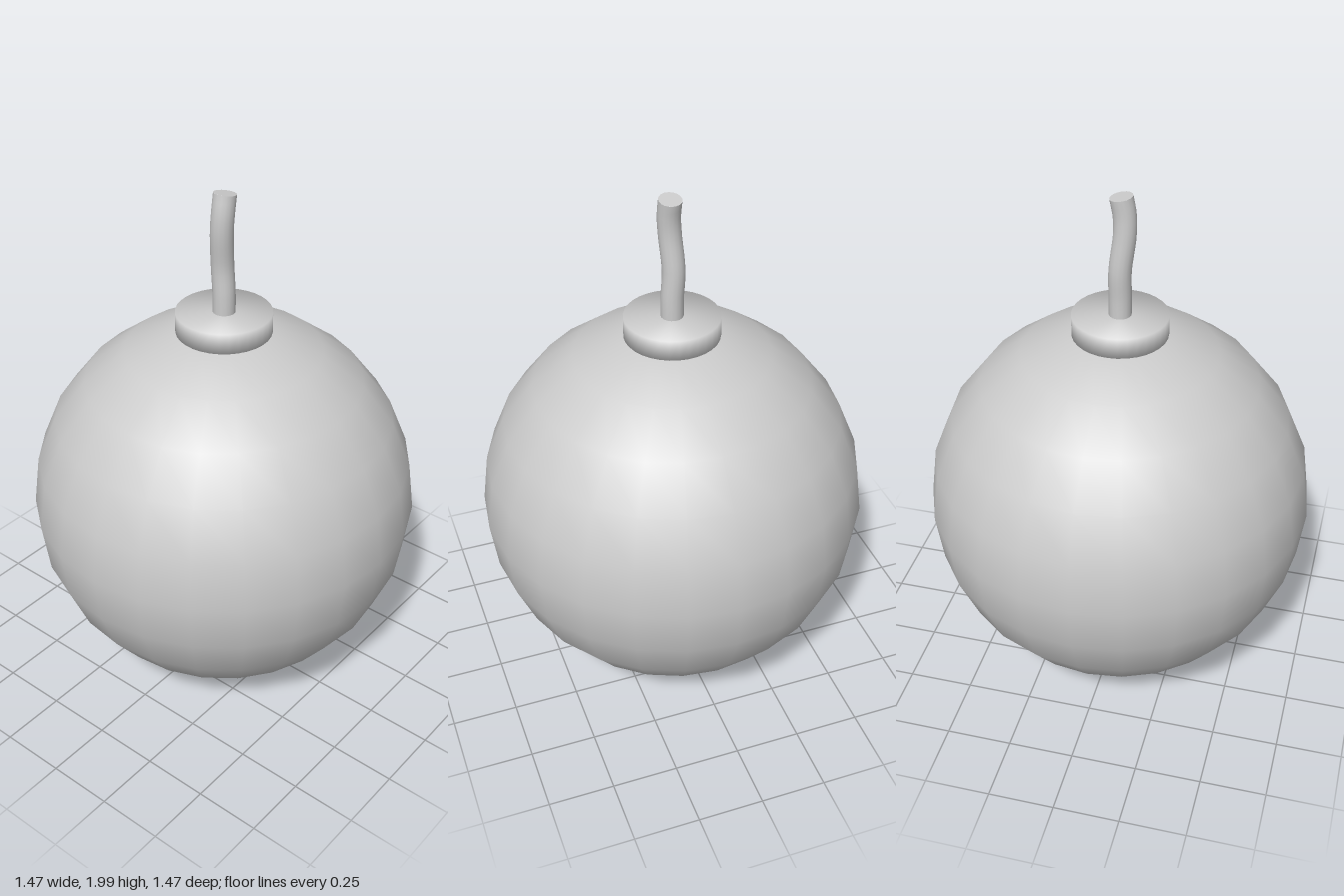
import * as THREE from 'three';
import { mergeVertices } from 'three/addons/utils/BufferGeometryUtils.js';

export function createModel() {
  const group = new THREE.Group();
  const material = new THREE.MeshStandardMaterial({ color: 0xcccccc });
  const add = (name, geometry) => {
    const mesh = new THREE.Mesh(geometry, material);
    mesh.name = name;
    group.add(mesh);
    return mesh;
  };

  // Round body
  add('body', new THREE.SphereGeometry(0.737, 24, 12)).position.y = 0.738;

  // Neck collar, shaded smoothly over its rim
  let collar = new THREE.CylinderGeometry(0.178, 0.178, 0.09, 32);
  collar.deleteAttribute('normal');
  collar.deleteAttribute('uv');
  collar = mergeVertices(collar);
  collar.computeVertexNormals();
  add('collar', collar).position.y = 1.485;

  // Bent fuse
  const path = new THREE.CatmullRomCurve3([
    [0, 1.5, 0],
    [0, 1.6, 0],
    [-0.001, 1.71, -0.006],
    [-0.016, 1.85, 0.003],
    [-0.014, 1.92, 0.007],
    [-0.002, 1.987, 0.006],
  ].map((p) => new THREE.Vector3(...p)));
  const radius = 0.042;
  add('fuse', new THREE.TubeGeometry(path, 16, radius, 16));

  // Slanted end of the fuse
  const tip = add('fuseTip', new THREE.CircleGeometry(radius, 16));
  tip.position.copy(path.getPointAt(1));
  tip.quaternion.setFromUnitVectors(new THREE.Vector3(0, 0, 1), path.getTangentAt(1));

  return group;
}
